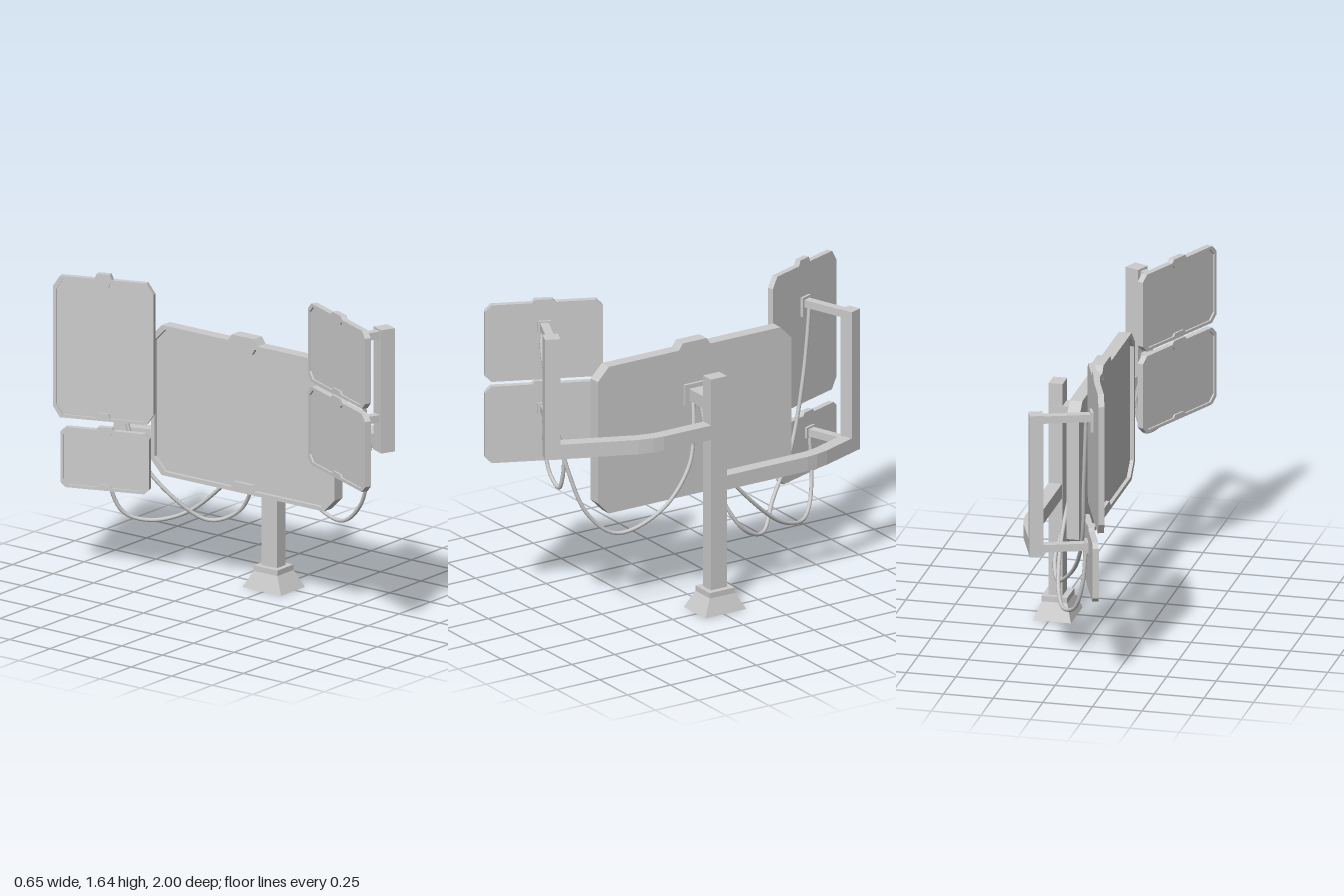
import * as THREE from 'three';

const material = new THREE.MeshStandardMaterial({ color: 0xcccccc });

function add(parent, name, geometry, x = 0, y = 0, z = 0) {
  const mesh = new THREE.Mesh(geometry, material);
  mesh.name = name;
  mesh.position.set(x, y, z);
  parent.add(mesh);
  return mesh;
}

const box = (w, h, d) => new THREE.BoxGeometry(w, h, d);
const toVectors = (points) => points.map(([x, y]) => new THREE.Vector2(x, y));

// Flat panel facing local +z: chamfered outline with a top tab, raised rim with notches
function screen(parent, name, { w, h, t, cut, tab, tabHeight = 0.02, rim = 0.015, y, z }) {
  const a = w / 2, b = h / 2, [cx, cy] = cut;
  const outline = toVectors([
    [-a + cx, -b], [a - cx, -b], [a, -b + cy], [a, b - cy], [a - cx, b],
    [tab, b], [tab * 0.75, b + tabHeight], [-tab * 0.75, b + tabHeight], [-tab, b],
    [-a + cx, b], [-a, b - cy], [-a, -b + cy],
  ]);
  const i = a - rim, j = b - rim, n = tab * 0.8, m = tab * 0.6, d = tabHeight * 0.9;
  const opening = toVectors([
    [-i + cx, -j], [-n, -j], [-m, -j + d], [m, -j + d], [n, -j], [i - cx, -j],
    [i, -j + cy], [i, j - cy], [i - cx, j],
    [n, j], [m, j - d], [-m, j - d], [-n, j],
    [-i + cx, j], [-i, j - cy], [-i, -j + cy],
  ]);
  const depth = t * 0.3;
  const group = new THREE.Group();
  group.name = name;
  group.position.set(0, y, z);
  parent.add(group);
  add(group, 'panel', new THREE.ExtrudeGeometry(new THREE.Shape(outline),
    { depth: t - depth, bevelEnabled: false }), 0, 0, -t / 2);
  const frame = new THREE.Shape(outline);
  frame.holes.push(new THREE.Path(opening));
  add(group, 'rim', new THREE.ExtrudeGeometry(frame,
    { depth, bevelEnabled: false }), 0, 0, t / 2 - depth);
}

// Bar from the upright to the back of a screen, ending in a plate
function bracket(parent, y, reach, plateHeight = 0.055, plateY = y) {
  add(parent, 'bracket', box(0.042, 0.038, reach), 0, y, reach / 2);
  add(parent, 'mountPlate', box(0.065, plateHeight, 0.014), 0, plateY, reach - 0.007);
}

// Horizontal arm: plan path [x, z] widened to a band and extruded upward
function arm(parent, name, path, width, y, height) {
  const left = [], right = [];
  path.forEach(([x, z], k) => {
    const [x0, z0] = path[Math.max(k - 1, 0)];
    const [x1, z1] = path[Math.min(k + 1, path.length - 1)];
    const l = Math.hypot(x1 - x0, z1 - z0) / (width / 2);
    const nx = (z1 - z0) / l, nz = -(x1 - x0) / l;
    left.push([x + nx, -z - nz]);
    right.unshift([x - nx, -z + nz]);
  });
  const geometry = new THREE.ExtrudeGeometry(
    new THREE.Shape(toVectors([...left, ...right])), { depth: height, bevelEnabled: false });
  add(parent, name, geometry.rotateX(-Math.PI / 2), 0, y, 0);
}

// Group whose +z points where its screens face
function turned(parent, name, x, z, degrees) {
  const group = new THREE.Group();
  group.name = name;
  group.position.set(x, 0, z);
  group.rotation.y = THREE.MathUtils.degToRad(degrees);
  parent.add(group);
  return group;
}

function cable(parent, points) {
  const curve = new THREE.CatmullRomCurve3(points.map((p) => new THREE.Vector3(...p)));
  add(parent, 'cable', new THREE.TubeGeometry(curve, 72, 0.01, 8));
}

export function createModel() {
  const model = new THREE.Group();
  model.name = 'screenStand';

  // Pole and flared foot
  add(model, 'pole', box(0.07, 1.16, 0.094), 0.231, 0.635, -0.01);
  const foot = box(0.19, 0.085, 0.24);
  const p = foot.attributes.position;
  for (let i = 0; i < p.count; i++) {
    if (p.getY(i) > 0) p.setXYZ(i, p.getX(i) * 0.684, p.getY(i), p.getZ(i) * 0.608);
  }
  foot.computeVertexNormals();
  add(model, 'foot', foot, 0.231, 0.0425, -0.01);
  add(model, 'footCollar', box(0.13, 0.028, 0.146), 0.231, 0.099, -0.01);

  // Arms
  arm(model, 'frontArm',
    [[0.233, -0.04], [0.233, 0.31], [0.226, 0.36], [0.207, 0.43], [0.04, 0.82]], 0.067, 0.9, 0.075);
  arm(model, 'backArm',
    [[0.233, 0.02], [0.233, -0.53], [0.228, -0.58], [0.212, -0.645], [0.13, -0.865]], 0.067, 0.62, 0.075);

  // Centre screen and its mount
  const centre = turned(model, 'centreMount', 0.016, -0.01, -90);
  screen(centre, 'centreScreen', {
    w: 1.13, h: 0.767, t: 0.064, cut: [0.065, 0.067],
    tab: 0.092, tabHeight: 0.033, rim: 0.02, y: 0.923, z: 0,
  });
  add(model, 'centreBracket', box(0.2, 0.062, 0.092), 0.15, 1.071, -0.014);
  add(model, 'centrePlate', box(0.016, 0.107, 0.134), 0.056, 1.071, -0.012);

  // Front wing: upright with two equal screens
  const front = turned(model, 'frontWing', 0.04, 0.82, -114);
  add(front, 'upright', box(0.077, 0.63, 0.077), 0, 1.215, 0);
  for (const [y, mountY] of [[1.421, 1.5], [0.996, 1.073]]) {
    bracket(front, mountY, 0.235);
    screen(front, 'frontScreen',
      { w: 0.585, h: 0.4, t: 0.032, cut: [0.033, 0.033], tab: 0.058, tabHeight: 0.016, y, z: 0.25 });
  }

  // Back wing: upright with a tall screen above a small one
  const back = turned(model, 'backWing', 0.13, -0.865, -70);
  add(back, 'upright', box(0.068, 0.735, 0.068), 0, 0.9875, 0);
  bracket(back, 1.328, 0.28, 0.1, 1.31);
  screen(back, 'tallScreen',
    { w: 0.515, h: 0.724, t: 0.03, cut: [0.035, 0.055], tab: 0.045, tabHeight: 0.027, y: 1.165, z: 0.295 });
  bracket(back, 0.658, 0.255);
  screen(back, 'smallScreen',
    { w: 0.455, h: 0.308, t: 0.03, cut: [0.025, 0.025], tab: 0.045, tabHeight: 0.015, y: 0.594, z: 0.27 });

  // Hanging cables
  cable(model, [[-0.165, 1.49, 0.735], [-0.14, 1.4, 0.76], [-0.08, 1.23, 0.765], [0, 0.98, 0.75],
    [0.04, 0.8, 0.72], [0.085, 0.58, 0.64], [0.12, 0.46, 0.49], [0.15, 0.54, 0.25],
    [0.135, 0.73, 0.08], [0.1, 0.92, 0.03], [0.065, 1.04, 0.01]]);
  cable(model, [[-0.165, 1.07, 0.725], [-0.158, 0.95, 0.735], [-0.135, 0.82, 0.737], [-0.09, 0.74, 0.737],
    [-0.02, 0.705, 0.737], [0.012, 0.77, 0.737], [0.03, 0.92, 0.737]]);
  cable(model, [[-0.1, 1.32, -0.775], [-0.09, 1.16, -0.755], [-0.075, 0.95, -0.72], [-0.045, 0.63, -0.635],
    [0.04, 0.41, -0.47], [0.15, 0.3, -0.34], [0.2, 0.37, -0.19], [0.16, 0.57, -0.08],
    [0.125, 0.76, -0.055], [0.065, 1.04, -0.04]]);
  cable(model, [[-0.1, 0.65, -0.775], [-0.08, 0.44, -0.775], [-0.03, 0.31, -0.73], [0.05, 0.27, -0.635],
    [0.115, 0.32, -0.47], [0.148, 0.465, -0.29], [0.145, 0.65, -0.13], [0.11, 0.83, -0.05],
    [0.065, 1.04, -0.03]]);

  return model;
}
